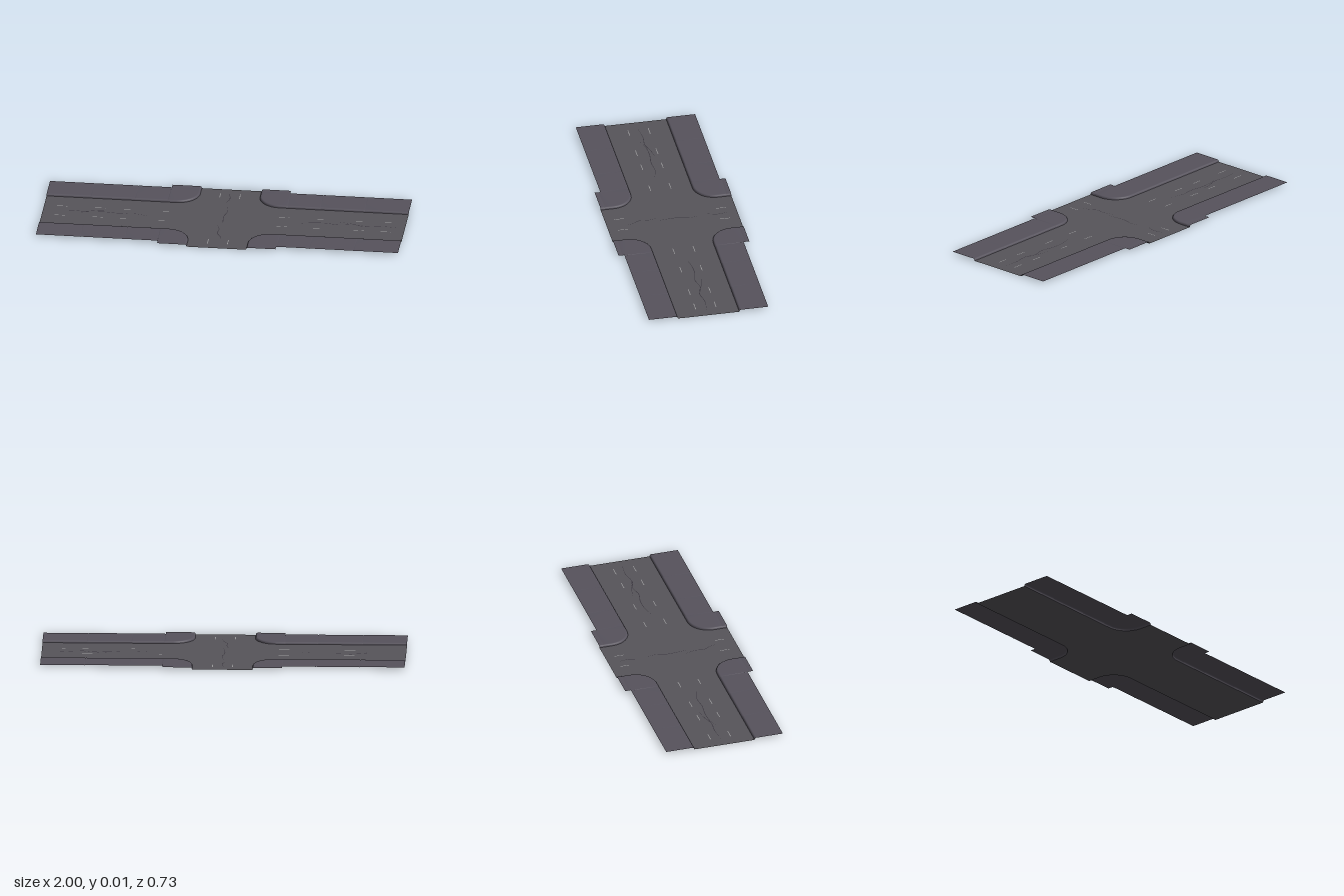
import * as THREE from 'three';

const CURB_X = 0.165, CURB_Z = 0.172; // half widths of the two roads at the curb foot
const END_X = 1, END_Z = 0.366;       // half lengths of the two roads
const CORNER_X = 0.327, WALK_Z = 0.334; // outer edges of corner slab and straight walk
const R = 0.12, ARC_STEPS = 12;
const CX = CURB_X + R, CZ = CURB_Z + R; // centre of the rounded corner

const material = (color) => new THREE.MeshStandardMaterial({ color, roughness: 0.95, side: THREE.DoubleSide });

function addMesh(parent, name, geometry, mat) {
  const mesh = new THREE.Mesh(geometry, mat);
  mesh.name = name;
  parent.add(mesh);
  return mesh;
}

// Points and inward directions around the rounded curb corner
function cornerArc() {
  return Array.from({ length: ARC_STEPS + 1 }, (_, i) => {
    const a = Math.PI + (i / ARC_STEPS) * Math.PI / 2;
    return { x: CX + R * Math.cos(a), z: CZ + R * Math.sin(a), nx: -Math.cos(a), nz: -Math.sin(a) };
  });
}

// Flat crossroads surface with four rounded inner corners
function roadGeometry() {
  const path = [{ x: CURB_X, z: END_Z }, ...cornerArc(), { x: END_X, z: CURB_Z }];
  const points = [];
  for (const [sx, sz] of [[1, 1], [-1, 1], [-1, -1], [1, -1]]) {
    const quarter = path.map((p) => new THREE.Vector2(p.x * sx, p.z * sz));
    points.push(...(sx * sz > 0 ? quarter.reverse() : quarter));
  }
  return new THREE.ShapeGeometry(new THREE.Shape(points)).rotateX(-Math.PI / 2);
}

// Pavement: a rounded curb profile swept round the corner and carried out to the outer edge
function sidewalkGeometry(sx, sz) {
  const profile = [[0, 0], [0.001, 0.005], [0.003, 0.009], [0.006, 0.0112], [0.009, 0.012], [0.013, 0.012]];
  const stations = [];
  const side = (z, h = 1) => stations.push({ x: CURB_X, z, nx: 1, nz: 0, ox: CORNER_X, oz: Math.max(z, WALK_Z), h });
  const along = (x, h = 1) => stations.push({ x, z: CURB_Z, nx: 0, nz: 1, ox: Math.max(x, CORNER_X), oz: WALK_Z, h });

  side(END_Z);
  side(0.346); side(0.342, 0.84); side(0.338); // joint near the road end
  for (const p of cornerArc()) stations.push({ ...p, ox: CORNER_X, oz: WALK_Z, h: 1 });
  for (const x of [CORNER_X + 0.003, 0.51, 0.755]) { // joints between slabs
    along(x - 0.003); along(x, 0.84); along(x + 0.003);
  }
  along(END_X);

  const positions = [], index = [], row = profile.length + 1;
  for (const s of stations) {
    for (const [d, y] of profile) positions.push(sx * (s.x + s.nx * d), y * s.h, sz * (s.z + s.nz * d));
    positions.push(sx * s.ox, 0.012 * s.h, sz * s.oz);
  }
  for (let i = 0; i < stations.length - 1; i++) {
    for (let j = 0; j < row - 1; j++) {
      const a = i * row + j, b = a + row, c = a + 1, d = b + 1;
      if (sx * sz > 0) index.push(a, c, b, b, c, d);
      else index.push(a, b, c, b, d, c);
    }
  }
  const geometry = new THREE.BufferGeometry();
  geometry.setAttribute('position', new THREE.Float32BufferAttribute(positions, 3));
  geometry.setIndex(index);
  geometry.computeVertexNormals();
  return geometry;
}

// Thin flat line, tapered at both ends, following a few points
function crackGeometry(points, width = 0.004) {
  const curve = new THREE.CatmullRomCurve3(points.map(([x, z]) => new THREE.Vector3(x, 0.0004, z)));
  const steps = points.length * 4, left = [], right = [];
  for (let i = 0; i <= steps; i++) {
    const p = curve.getPoint(i / steps), t = curve.getTangent(i / steps);
    const w = (width / 2) * Math.sin(Math.PI * (0.05 + 0.9 * i / steps));
    left.push(new THREE.Vector2(p.x - t.z * w, -p.z - t.x * w));
    right.push(new THREE.Vector2(p.x + t.z * w, -p.z + t.x * w));
  }
  const geometry = new THREE.ShapeGeometry(new THREE.Shape([...left, ...right.reverse()]));
  return geometry.rotateX(-Math.PI / 2).translate(0, 0.0004, 0);
}

export function createModel() {
  const model = new THREE.Group();
  model.name = 'crossroads';
  const asphalt = material(0x56545a), paving = material(0x56525c);
  const paint = material(0x9a9a9a), crackMat = material(0x38353c);

  addMesh(model, 'roadSurface', roadGeometry(), asphalt);

  for (const sx of [1, -1]) {
    for (const sz of [1, -1]) {
      const name = (sz > 0 ? 'front' : 'back') + (sx > 0 ? 'Left' : 'Right') + 'Sidewalk';
      addMesh(model, name, sidewalkGeometry(sx, sz), paving);
    }
  }

  // Dashed lane markings
  const markings = new THREE.Group();
  markings.name = 'laneMarkings';
  model.add(markings);
  const dash = (x, z, w, d) =>
    addMesh(markings, 'laneDash', new THREE.PlaneGeometry(w, d).rotateX(-Math.PI / 2), paint).position.set(x, 0.0006, z);
  for (const s of [-1, 1]) {
    for (const x of [-0.9, -0.69, -0.545, -0.33, 0.325, 0.52, 0.75, 0.9]) dash(x, s * 0.057, 0.058, 0.004);
    for (const x of [-0.055, 0.055]) dash(x, s * 0.286, 0.004, 0.055);
  }

  // Cracks in the asphalt
  const cracks = new THREE.Group();
  cracks.name = 'cracks';
  model.add(cracks);
  const crackPaths = [
    [[-0.94, 0], [-0.84, -0.01], [-0.77, -0.005], [-0.7, -0.025], [-0.64, -0.035]],
    [[-0.8, 0.015], [-0.74, -0.005], [-0.66, -0.01], [-0.58, -0.002], [-0.5, -0.008], [-0.42, 0.012]],
    [[0.41, 0.01], [0.48, -0.008], [0.56, -0.012], [0.64, 0.002], [0.71, -0.012], [0.8, 0.005]],
    [[0.63, -0.035], [0.7, -0.02], [0.77, 0.005], [0.86, -0.008], [0.95, 0]],
    [[-0.005, -0.31], [0.003, -0.25], [-0.012, -0.2]],
    [[0, -0.15], [0.008, -0.09], [-0.005, -0.03], [-0.002, 0.03], [0.004, 0.08]],
    [[-0.028, 0.07], [-0.012, 0.13], [-0.016, 0.18], [0.005, 0.22], [0.015, 0.26]],
  ];
  for (const path of crackPaths) addMesh(cracks, 'crack', crackGeometry(path), crackMat);

  return model;
}
